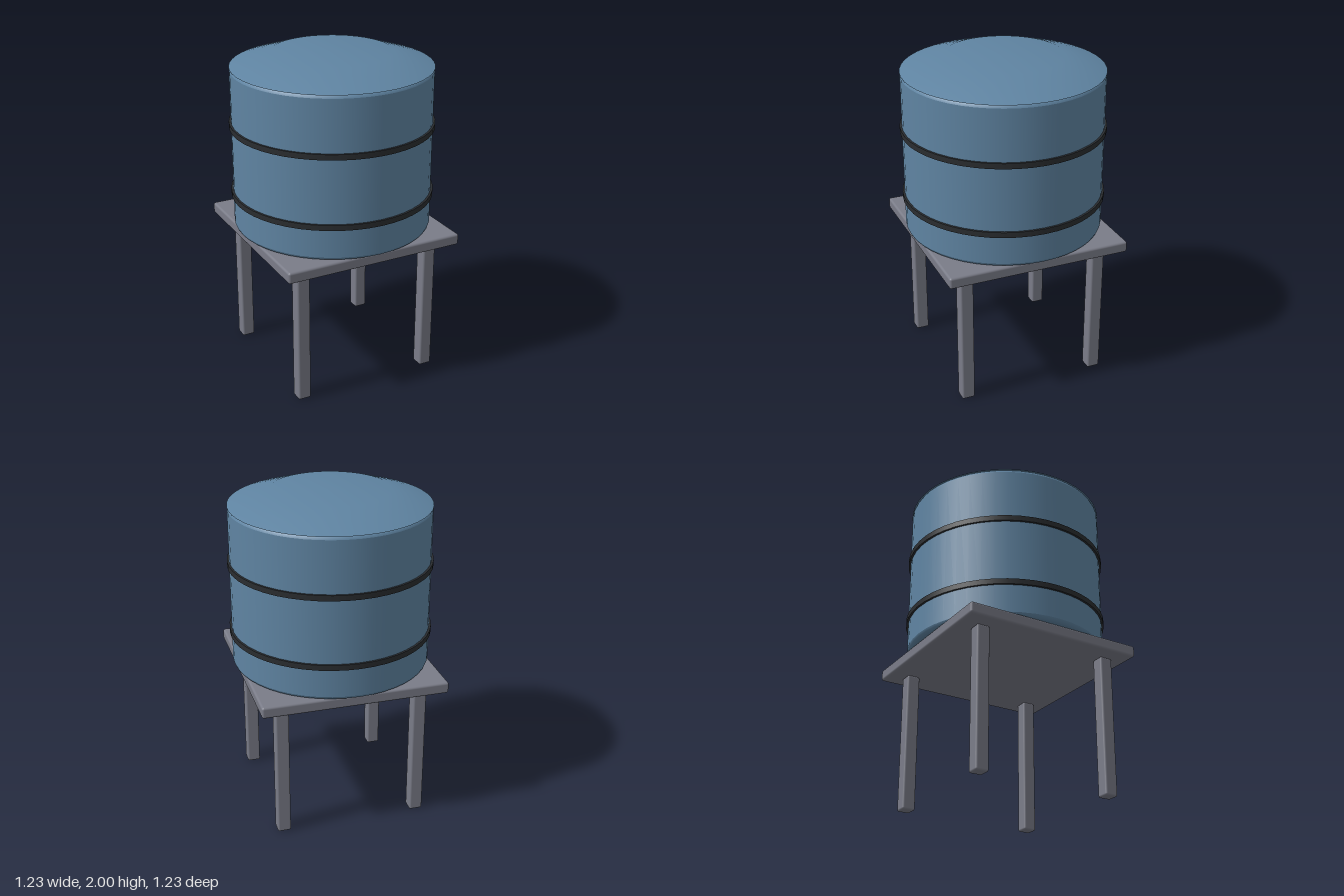
import * as THREE from 'three';
import { RoundedBoxGeometry } from 'three/addons/geometries/RoundedBoxGeometry.js';

const SEGMENTS = 48;

function material(name, color) {
  const m = new THREE.MeshStandardMaterial({ color });
  m.name = name;
  return m;
}

export function createModel() {
  const group = new THREE.Group();
  const blue = material('tankBlue', 0x5f84a2);
  const grey = material('standGrey', 0x7a7c88);
  const black = material('bandBlack', 0x2a2d30);

  const add = (name, geometry, mat, x, y, z) => {
    const mesh = new THREE.Mesh(geometry, mat);
    mesh.name = name;
    mesh.position.set(x, y, z);
    group.add(mesh);
  };
  const lathe = (points) =>
    new THREE.LatheGeometry(points.map(([r, y]) => new THREE.Vector2(r, y)), SEGMENTS);

  // Four square legs with softened edges
  const leg = new RoundedBoxGeometry(0.082, 0.86, 0.082, 2, 0.012);
  for (const x of [-1, 1]) {
    for (const z of [-1, 1]) add('leg', leg, grey, x * 0.427, 0.43, z * 0.427);
  }

  // Square platform
  add('platform', new RoundedBoxGeometry(1.136, 0.07, 1.136, 2, 0.014), grey, 0, 0.895, 0);

  // Tank body with rounded rims; doubled points keep the wall and ends crisp
  add('tank', lathe([
    [0, 0.93], [0.585, 0.93], [0.585, 0.93], [0.598, 0.936], [0.604, 0.95], [0.604, 0.95],
    [0.604, 1.9], [0.604, 1.9], [0.598, 1.914], [0.585, 1.92], [0.585, 1.92], [0, 1.92],
  ]), blue, 0, 0, 0);

  // Shallow roof: sloped rim smoothly shaded into a flat crown
  add('roof', lathe([
    [0, 1.919], [0.606, 1.919], [0.606, 1.919], [0.36, 2], [0, 2],
  ]), blue, 0, 0, 0);

  // Hoops around the tank
  for (const y of [1.142, 1.568]) {
    add('band', new THREE.CylinderGeometry(0.617, 0.617, 0.034, SEGMENTS), black, 0, y, 0);
  }

  return group;
}
